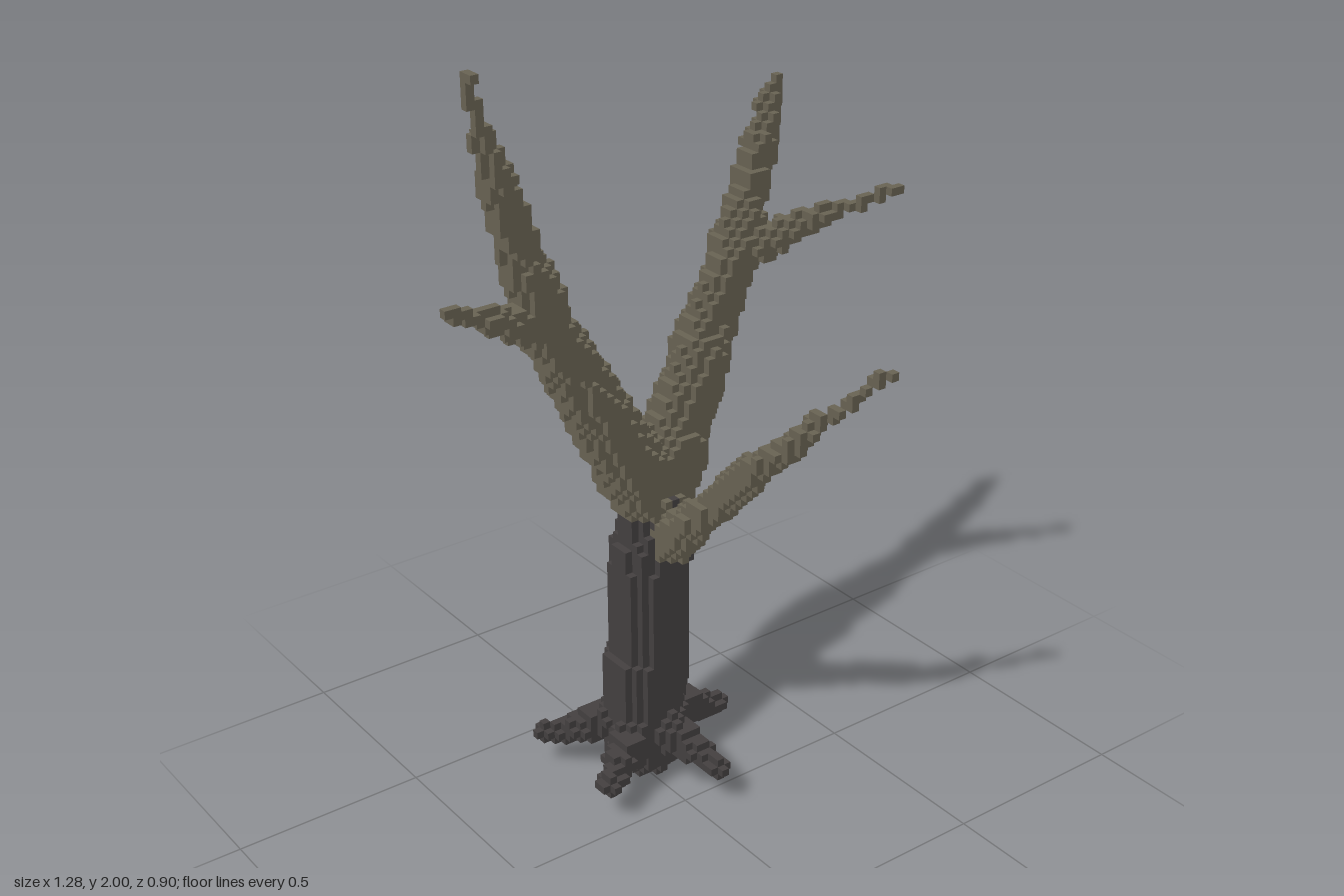
import * as THREE from 'three';

const S = 0.02; // voxel size

// Grid index of a position: x and z voxels sit on multiples of S, y voxels rest on the ground.
const toCell = (x, y, z) => [Math.round(x / S), Math.round(y / S - 0.5), Math.round(z / S)];
const key = (i, j, k) => `${i},${j},${k}`;

// Stamps balls of changing radius along a path of [x, y, z, radius] points.
function stampPath(grid, part, points) {
  for (let p = 0; p < points.length - 1; p++) {
    const a = points[p], b = points[p + 1];
    for (let s = 0; s <= 80; s++) {
      const [x, y, z, r] = a.map((v, n) => v + (b[n] - v) * s / 80);
      const [ci, cj, ck] = toCell(x, y, z);
      const R = r / S + 0.001, n = Math.floor(R);
      for (let i = -n; i <= n; i++)
        for (let j = -n; j <= n; j++)
          for (let k = -n; k <= n; k++)
            if (i * i + j * j + k * k <= R * R && cj + j >= 0)
              grid.set(key(ci + i, cj + j, ck + k), part);
    }
  }
}

// Builds the outer voxel faces that belong to one part.
function voxelGeometry(grid, part) {
  const pos = [], nor = [], idx = [];
  for (const [id, owner] of grid) {
    if (owner !== part) continue;
    const cell = id.split(',').map(Number);
    for (let axis = 0; axis < 3; axis++) {
      for (const sign of [-1, 1]) {
        const next = [...cell];
        next[axis] += sign;
        if (grid.has(key(...next))) continue;
        const u = (axis + 1) % 3, v = (axis + 2) % 3, base = pos.length / 3;
        for (const [du, dv] of [[-1, -1], [1, -1], [1, 1], [-1, 1]]) {
          const c = [cell[0] * S, (cell[1] + 0.5) * S, cell[2] * S];
          c[axis] += sign * S / 2;
          c[u] += du * sign * S / 2;
          c[v] += dv * S / 2;
          pos.push(...c);
          const n = [0, 0, 0];
          n[axis] = sign;
          nor.push(...n);
        }
        idx.push(base, base + 1, base + 2, base, base + 2, base + 3);
      }
    }
  }
  const geometry = new THREE.BufferGeometry();
  geometry.setAttribute('position', new THREE.Float32BufferAttribute(pos, 3));
  geometry.setAttribute('normal', new THREE.Float32BufferAttribute(nor, 3));
  geometry.setIndex(idx);
  return geometry;
}

export function createModel() {
  const bark = new THREE.MeshStandardMaterial({ color: 0x454141 });
  bark.name = 'dark bark';
  const wood = new THREE.MeshStandardMaterial({ color: 0x6a6454 });
  wood.name = 'pale branch wood';

  const grid = new Map();
  const parts = [];
  const addPart = (name, material, ...paths) => {
    paths.forEach((path) => stampPath(grid, name, path));
    parts.push([name, material]);
  };

  // Trunk, rounded at the foot and leaning slightly to its left
  addPart('trunk', bark, [[0, 0.11, -0.18, 0.1], [0.015, 0.42, -0.18, 0.099], [0.04, 0.81, -0.18, 0.08]]);

  // Five roots spread evenly round the foot
  const roots = [];
  for (let n = 0; n < 5; n++) {
    const t = n * Math.PI * 2 / 5 + 0.04, c = Math.cos(t), s = Math.sin(t);
    roots.push([
      [c * 0.08, 0.16, -0.18 + s * 0.08, 0.045],
      [c * 0.17, 0.125, -0.18 + s * 0.17, 0.029],
      [c * 0.25, 0.1, -0.18 + s * 0.25, 0.02],
    ]);
  }
  addPart('roots', bark, ...roots);

  // Tall right limb with its side twig
  addPart('rightBranch', wood,
    [[0.02, 0.81, -0.18, 0.08], [-0.3, 1.35, -0.12, 0.054], [-0.42, 1.68, -0.08, 0.034], [-0.53, 1.99, -0.03, 0.01]],
    [[-0.33, 1.36, -0.1, 0.035], [-0.48, 1.44, -0.05, 0.022], [-0.63, 1.51, 0, 0.01]]);

  // Left limb with its side twig
  addPart('leftBranch', wood,
    [[0.05, 0.81, -0.18, 0.08], [0.31, 1.34, -0.23, 0.052], [0.43, 1.55, -0.28, 0.034], [0.52, 1.73, -0.33, 0.016]],
    [[0.34, 1.36, -0.21, 0.035], [0.48, 1.44, -0.11, 0.022], [0.63, 1.51, 0, 0.01]]);

  // Crooked low branch reaching forward
  addPart('frontBranch', wood,
    [[0.03, 0.7, -0.11, 0.058], [0.05, 0.84, 0.03, 0.036], [0.07, 1.05, 0.23, 0.026], [0.23, 1.29, 0.43, 0.01]]);

  const model = new THREE.Group();
  model.name = 'bareTree';
  for (const [name, material] of parts) {
    const mesh = new THREE.Mesh(voxelGeometry(grid, name), material);
    mesh.name = name;
    model.add(mesh);
  }
  return model;
}
